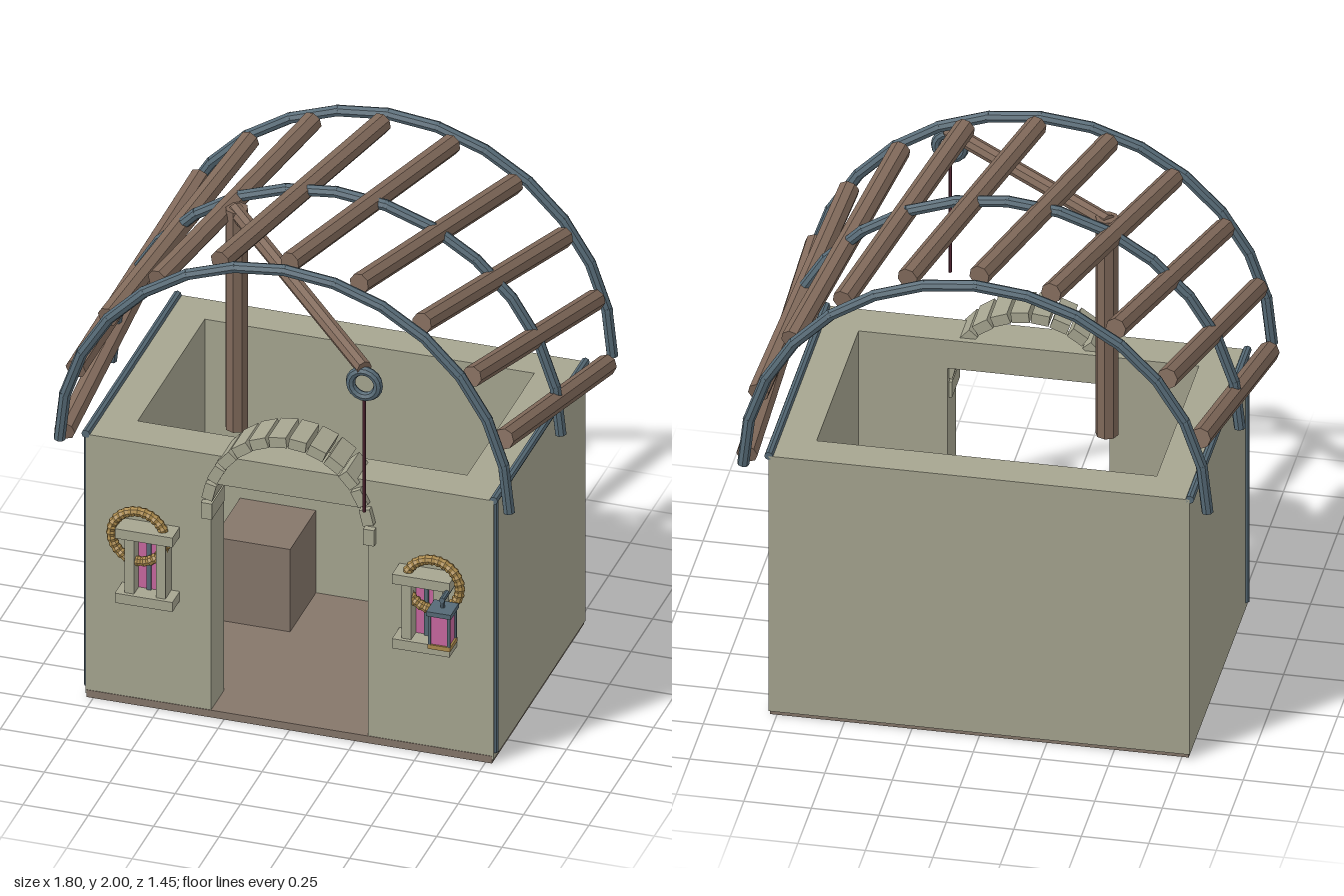
import * as THREE from 'three';

const mat = (color) => new THREE.MeshStandardMaterial({ color, flatShading: true });
const stone = mat(0xa6a590), wood = mat(0x85766a), log = mat(0x80695a), steel = mat(0x566a76);
const glass = mat(0xc8689f), gold = mat(0xab8a4c), rope = mat(0x5a2a38);

const V = (x, y, z) => new THREE.Vector3(x, y, z);

function add(parent, name, geometry, material, x = 0, y = 0, z = 0) {
  const m = new THREE.Mesh(geometry, material);
  m.name = name;
  m.position.set(x, y, z);
  parent.add(m);
  return m;
}

// box given by its minimum and maximum on each axis
function box(parent, name, material, x0, x1, y0, y1, z0, z1) {
  return add(parent, name, new THREE.BoxGeometry(x1 - x0, y1 - y0, z1 - z0), material,
    (x0 + x1) / 2, (y0 + y1) / 2, (z0 + z1) / 2);
}

// round bar between two points
function bar(parent, name, material, a, b, r, sides = 8) {
  const d = b.clone().sub(a);
  const m = add(parent, name, new THREE.CylinderGeometry(r, r, d.length(), sides), material);
  m.position.copy(a).add(b).multiplyScalar(0.5);
  m.quaternion.setFromUnitVectors(V(0, 1, 0), d.normalize());
  return m;
}

const R = 0.86, SPRING = 1.1;
const onArc = (angle, z, r = R) => V(-r * Math.cos(angle), SPRING + r * Math.sin(angle), z);

function buildWalls() {
  const g = new THREE.Group();
  g.name = 'walls';
  box(g, 'floor', wood, -0.775, 0.775, 0, 0.03, -0.635, 0.432);
  box(g, 'backWall', stone, -0.78, 0.78, 0.015, 1.1, -0.64, -0.5);
  for (const s of [-1, 1]) {
    const side = (name, m, a, b, ...rest) =>
      box(g, name, m, Math.min(s * a, s * b), Math.max(s * a, s * b), ...rest);
    side('sideWall', stone, 0.63, 0.78, 0.015, 1.1, -0.5, 0.28);
    side('frontWall', stone, 0.3, 0.78, 0.015, 1.1, 0.28, 0.43);
    side('crate', wood, 0.205, 0.495, 0.03, 0.375, -0.499, -0.2);
    // metal edging on the front corner and along the wall top
    bar(g, 'cornerTrim', steel, V(s * 0.78, 0.04, 0.41), V(s * 0.78, 1.1, 0.41), 0.012);
    bar(g, 'topTrim', steel, V(s * 0.78, 1.1, 0.43), V(s * 0.78, 1.1, -0.64), 0.016);
  }
  box(g, 'doorLintel', stone, -0.3, 0.3, 0.98, 1.1, 0.28, 0.43);
  return g;
}

// ring of separate stones over the doorway
function buildDoorArch() {
  const g = new THREE.Group();
  g.name = 'doorArch';
  for (let i = 0; i < 14; i++) {
    const t = Math.PI * i / 13;
    const b = add(g, 'archStone', new THREE.BoxGeometry(0.042, 0.066, 0.15), stone,
      0.31 * Math.cos(t), 0.875 + 0.338 * Math.sin(t), 0.38);
    b.rotation.z = t;
  }
  return g;
}

function buildRoof() {
  const g = new THREE.Group();
  g.name = 'roofFrame';
  // metal hoops
  for (const z of [0.49, -0.11, -0.71])
    for (let i = 0; i < 14; i++) {
      const a = onArc(Math.PI * i / 14, z), b = onArc(Math.PI * (i + 1) / 14, z);
      const over = b.clone().sub(a).multiplyScalar(0.04);
      bar(g, 'hoopSegment', steel, i ? a.sub(over) : a, i < 13 ? b.add(over) : b, 0.022);
    }
  // each log runs one step further round the arc at the back
  for (let i = 0; i < 10; i++)
    bar(g, 'roofLog', log, onArc(Math.PI * i / 10, 0.43), onArc(Math.PI * (i + 1) / 10, -0.64), 0.04);
  return g;
}

function buildHoist() {
  const g = new THREE.Group();
  g.name = 'hoist';
  bar(g, 'post', log, V(-0.35, 0.96, -0.02), V(-0.35, 1.88, -0.02), 0.043);
  bar(g, 'boom', log, V(-0.36, 1.865, -0.03), V(0.375, 1.73, 0.7), 0.03);
  add(g, 'pulleyRing', new THREE.TorusGeometry(0.053, 0.018, 8, 18), steel, 0.375, 1.667, 0.7);
  bar(g, 'rope', rope, V(0.375, 1.13, 0.7), V(0.375, 1.62, 0.7), 0.007, 6);
  return g;
}

// coil of rope: a torus whose thickness pulses along its length
function coilGeometry() {
  const geo = new THREE.TorusGeometry(0.103, 0.02, 8, 56);
  const p = geo.attributes.position;
  for (let i = 0; i < p.count; i++) {
    const t = Math.atan2(p.getY(i), p.getX(i));
    const c = V(Math.cos(t) * 0.103, Math.sin(t) * 0.103, 0);
    const k = 0.94 + 0.1 * Math.cos(t * 28);
    const q = V(p.getX(i), p.getY(i), p.getZ(i)).sub(c).multiplyScalar(k).add(c);
    p.setXYZ(i, q.x, q.y, q.z);
  }
  geo.computeVertexNormals();
  return geo;
}

function buildWindow(s) {
  const g = new THREE.Group();
  g.name = s > 0 ? 'leftWindow' : 'rightWindow';
  box(g, 'sill', stone, -0.11, 0.11, 0.465, 0.505, 0.42, 0.515);
  box(g, 'lintel', stone, -0.11, 0.11, 0.735, 0.775, 0.42, 0.515);
  for (const x of [-0.06, 0.06])
    box(g, 'jamb', stone, x - 0.018, x + 0.018, 0.5, 0.74, 0.42, 0.5);
  box(g, 'pane', glass, -0.045, 0.045, 0.5, 0.74, 0.42, 0.445);
  box(g, 'mullion', steel, -0.008, 0.008, 0.5, 0.74, 0.42, 0.455);
  g.position.x = s * 0.53;
  add(g, 'ropeCoil', coilGeometry(), gold, s * 0.033, 0.735, 0.475);
  return g;
}

function buildLantern() {
  const g = new THREE.Group();
  g.name = 'lantern';
  bar(g, 'bracketArm', steel, V(0, 0.735, 0.43), V(0, 0.735, 0.575), 0.011);
  bar(g, 'hanger', steel, V(0, 0.69, 0.565), V(0, 0.74, 0.565), 0.008);
  box(g, 'cap', steel, -0.047, 0.047, 0.683, 0.702, 0.52, 0.614);
  box(g, 'lampGlass', glass, -0.036, 0.036, 0.56, 0.685, 0.531, 0.603);
  box(g, 'base', gold, -0.043, 0.043, 0.545, 0.563, 0.524, 0.61);
  for (const x of [-0.037, 0.037])
    for (const z of [0.53, 0.604])
      box(g, 'cornerPost', steel, x - 0.005, x + 0.005, 0.56, 0.685, z - 0.005, z + 0.005);
  g.position.x = 0.63;
  return g;
}

export function createModel() {
  const model = new THREE.Group();
  model.name = 'ruinedHut';
  model.add(buildWalls(), buildDoorArch(), buildRoof(), buildHoist(),
    buildWindow(-1), buildWindow(1), buildLantern());
  return model;
}
